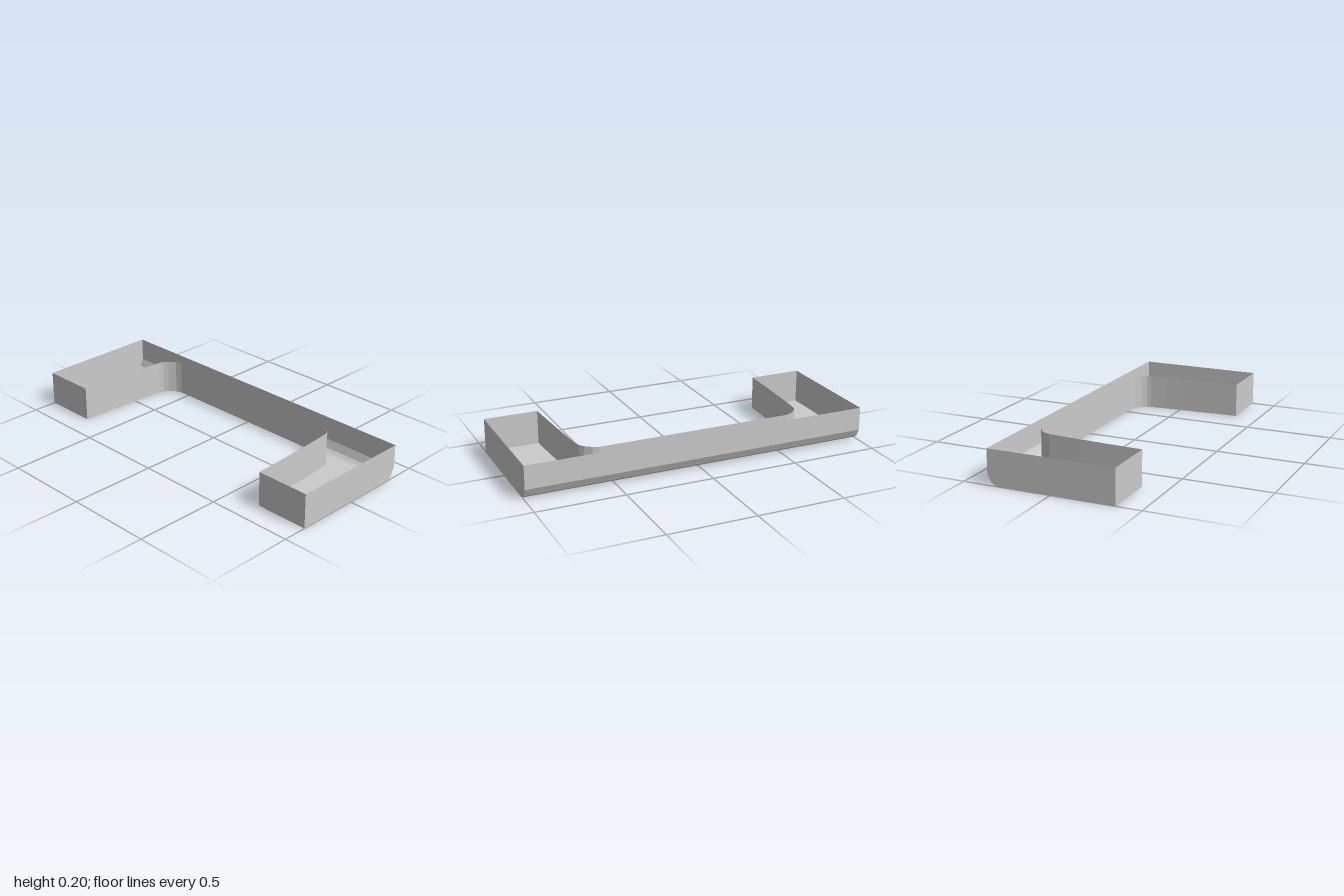
import * as THREE from 'three';

const H = 0.197, LEFT = -0.36;

// Half of the inner outline in plan, as [x, z], from arm end to the bar
const armEdge = [
  [LEFT, 1], [LEFT, 0.69], [-0.18, 0.682], [0, 0.672], [0.1, 0.665], [0.19, 0.657],
  [0.215, 0.65], [0.24, 0.632], [0.27, 0.595], [0.282, 0.56],
];
const innerPath = [...armEdge, ...armEdge.map(([x, z]) => [x, -z]).reverse()];

// Long side in section, as [x, y], from floor to rim
const sideProfile = [[0.297, 0], [0.318, 0.006], [0.338, 0.02], [0.358, 0.063], [0.358, H]];

const material = new THREE.MeshStandardMaterial({
  color: 0xcccccc, flatShading: true, side: THREE.DoubleSide,
});

function addMesh(group, name, geometry) {
  const mesh = new THREE.Mesh(geometry, material);
  mesh.name = name;
  group.add(mesh);
  return mesh;
}

// Thin strip of quads between two edges derived from one path
function ribbon(path, edgeA, edgeB) {
  const pos = [];
  for (let i = 0; i < path.length - 1; i++) {
    const a0 = edgeA(path[i]), a1 = edgeA(path[i + 1]);
    const b0 = edgeB(path[i]), b1 = edgeB(path[i + 1]);
    pos.push(...a0, ...b0, ...a1, ...a1, ...b0, ...b1);
  }
  const geometry = new THREE.BufferGeometry();
  geometry.setAttribute('position', new THREE.Float32BufferAttribute(pos, 3));
  geometry.computeVertexNormals();
  return geometry;
}

function flatShape(points) {
  return new THREE.ShapeGeometry(new THREE.Shape(points.map(([x, y]) => new THREE.Vector2(x, y))));
}

export function createModel() {
  const group = new THREE.Group();
  group.name = 'openTray';

  // Arm ends and inner wall around the recess
  addMesh(group, 'innerWall', ribbon(innerPath, ([x, z]) => [x, 0, z], ([x, z]) => [x, H, z]));

  // Long outer wall with its rounded lower edge
  addMesh(group, 'outerWall', ribbon(sideProfile, ([x, y]) => [x, y, 1], ([x, y]) => [x, y, -1]));

  // C-shaped floor
  const floorX = sideProfile[0][0];
  const floor = flatShape([...innerPath, [floorX, -1], [floorX, 1]]);
  floor.rotateX(Math.PI / 2);
  addMesh(group, 'floor', floor);

  // End walls, mirrored front to back
  const endWall = flatShape([[LEFT, 0], ...sideProfile, [LEFT, H]]);
  for (const s of [1, -1]) {
    const mesh = addMesh(group, s > 0 ? 'frontEndWall' : 'backEndWall', endWall);
    mesh.position.z = s;
    mesh.scale.z = s;
  }
  return group;
}
